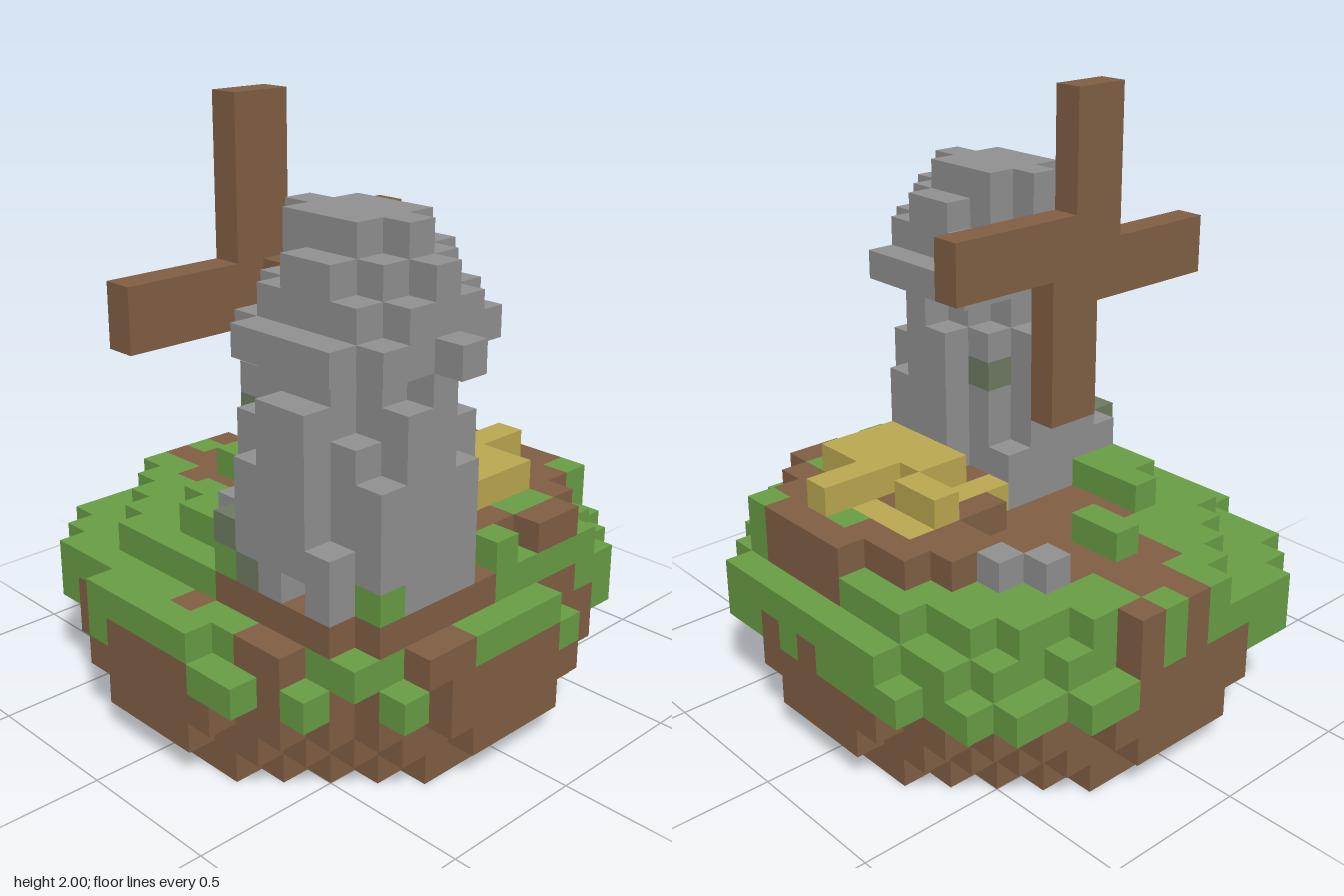
import * as THREE from 'three';

const S = 0.1; // edge of one block

export function createModel() {
  const flat = (name, color) => Object.assign(new THREE.MeshStandardMaterial({ color }), { name });
  const mats = {
    brown: flat('soil and wood brown', 0x826045),
    grass: flat('grass green', 0x6a9f46),
    stone: flat('stone grey', 0x929292),
    moss: flat('mossy stone', 0x707b61),
    straw: flat('straw yellow', 0xbca950),
  };

  // block grid helpers
  const blocks = new Map();
  const key = (x, y, z) => `${x},${y},${z}`;
  const put = (part, mat, x, y, z) => blocks.set(key(x, y, z), { part, mat, p: [x, y, z] });
  const fill = (part, mat, [x0, y0, z0], [x1, y1, z1]) => {
    for (let x = x0; x <= x1; x++)
      for (let y = y0; y <= y1; y++)
        for (let z = z0; z <= z1; z++) put(part, mat, x, y, z);
  };
  const within = (rects, x, z) => rects.some(([a, b, c, d]) => x >= a && x <= c && z >= b && z <= d);

  // island: bare soil patches and grass drips as [x0, z0, x1, z1]
  const soil = [
    [0, -7, 3, -7], [-2, -6, 0, -6], [3, -6, 4, -6], [-3, -5, 5, -5], [-3, -4, 4, -4],
    [6, -4, 6, -3], [-4, -3, 4, -3], [-8, -2, -8, -2], [-5, -2, 5, -2], [-7, -1, 5, -1],
    [-8, 0, -6, 0], [-3, 0, -1, 0], [-6, 1, -1, 1], [-3, 2, -1, 2],
    [7, 2, 7, 3], [0, 6, 0, 6], [3, 6, 4, 6],
  ];
  const drips = [
    [-8, 3, -6, 6], [-3, 7, -3, 7], [2, 7, 3, 7], [5, 6, 5, 6],
    [7, 4, 7, 4], [7, -3, 7, -3], [5, -8, 7, -6],
  ];
  const isSoil = (x, y, z) => {
    if (y === 5 && x > 0 && z >= 0) return true;
    if (y === 5 && x === 6) return false;
    return within(soil, x, z);
  };
  const isDrip = (x, z) => within(drips, x, z) ||
    (x < 0 && z < -2 && x * x + z * z > 55) ||
    (z < -4 && x < 5 && (x * 3 + z * 5 + 80) % 7 < 4);

  // island: lower layers widen upwards
  [49, 60, 63, 66].forEach((r2, y) => {
    for (let x = -8; x < 8; x++)
      for (let z = -8; z < 8; z++)
        if ((x + 0.5) ** 2 + (z + 0.5) ** 2 <= r2) put('island', 'brown', x, y, z);
  });

  // island: upper layers as x spans for successive z rows
  const layer = (y, z0, spans) => spans.forEach(([a, b], i) => {
    const z = z0 + i;
    for (let x = a; x <= b; x++) put('island', isSoil(x, y, z) ? 'brown' : 'grass', x, y, z);
  });
  const full = [-8, 7];
  const rim = [[-4, 4], [-6, 5], [-7, 6], [-7, 6], [-8, 6],
    full, full, full, full, full, full, full, full, [-7, 6], [-6, 5], [-3, 3]];
  rim.forEach(([a, b], i) => {
    for (let x = a; x <= b; x++) if (isDrip(x, i - 8)) put('island', 'grass', x, 3, i - 8);
  });
  layer(4, -8, [[-3, 4], [-5, 5], [-6, 6], [-6, 6], [-7, 6], [-7, 6],
    full, full, full, full, full, full, [-8, 6], [-7, 6], [-6, 4], [-3, 1]]);
  layer(5, -7, [[-3, 4], [-5, 5], [-6, 6], [-6, 6], [-7, 6], [-8, 6], [-8, 6],
    [-8, 6], [-8, 6], [-7, 6], [-6, 6], [-5, 6], [-4, 5]]);
  layer(6, -7, [[0, 4], [-2, 4], [-3, 5], [-3, 6], [-1, 6], [-1, 5], [0, 5]]);
  fill('island', 'grass', [-5, 6, 0], [-4, 6, 0]);
  fill('island', 'grass', [-3, 6, 3], [-1, 6, 3]);
  fill('island', 'grass', [-2, 6, 4], [-1, 6, 4]);

  // loose rocks
  put('rocks', 'stone', -4, 6, -4);
  put('rocks', 'stone', -5, 6, -3);

  // straw heap: low edge and higher middle
  fill('strawHeap', 'straw', [-1, 6, -5], [1, 6, -5]);
  fill('strawHeap', 'straw', [-1, 6, -4], [0, 7, -4]);
  fill('strawHeap', 'straw', [0, 6, -3], [0, 6, -1]);
  [[2, -6, 2], [2, -5, 2], [2, -4, 4], [1, -3, 4], [1, -2, 4]]
    .forEach(([a, z, b]) => fill('strawHeap', 'straw', [a, 7, z], [b, 7, z]));

  // tower: slim core with outer blocks that end at uneven heights
  for (let x = 0; x <= 6; x++)
    for (let z = -1; z <= 5; z++) {
      const r2 = (x - 3) ** 2 + (z - 2) ** 2;
      if (r2 > 13 || (r2 > 10 && z < 1 && x > 0)) continue;
      const uneven = (x * 5 + z * 3 + 8) % 4;
      let top = 12;
      if (r2 > 10) top = 7 + uneven % 3;
      else if (r2 > 9) top = 8 + uneven;
      else if (r2 > 8) top = x === 6 || z === -1 ? 12 : 11;
      else if (r2 > 5) top = 10;
      fill('tower', 'stone', [x, 6, z], [x, top, z]);
    }
  put('tower', 'stone', 0, 11, 3);
  put('tower', 'stone', 1, 11, 0);
  // tower: overhanging ring and stepped cap
  fill('tower', 'stone', [1, 13, -1], [5, 13, 4]);
  fill('tower', 'stone', [2, 13, 5], [5, 13, 5]);
  fill('tower', 'stone', [6, 13, 1], [6, 13, 4]);
  put('tower', 'stone', 7, 13, 2);
  fill('tower', 'stone', [1, 14, 1], [6, 14, 3]);
  fill('tower', 'stone', [2, 14, 0], [5, 14, 4]);
  fill('tower', 'stone', [1, 15, 2], [6, 15, 2]);
  fill('tower', 'stone', [2, 15, 1], [5, 15, 3]);
  fill('tower', 'stone', [3, 15, 0], [4, 15, 4]);
  fill('tower', 'stone', [1, 16, 2], [5, 16, 2]);
  fill('tower', 'stone', [2, 16, 1], [4, 16, 3]);
  // tower: mossy stones, turf at the foot and a low doorway
  [[0, 10, 3], [1, 7, 5], [2, 6, 5], [5, 12, 1], [1, 10, 0]]
    .forEach((p) => put('tower', 'moss', ...p));
  [[1, 6, 5], [6, 6, 4], [6, 6, -1]].forEach((p) => put('island', 'grass', ...p));
  blocks.delete(key(4, 6, 5));

  // sails: four offset arms around the axle
  put('axle', 'brown', 0, 14, 2);
  fill('sails', 'brown', [-1, 14, 2], [-1, 19, 3]);
  fill('sails', 'brown', [-1, 9, 1], [-1, 14, 2]);
  fill('sails', 'brown', [-1, 14, -3], [-1, 15, 2]);
  fill('sails', 'brown', [-1, 13, 2], [-1, 14, 7]);

  // collect the exposed faces of each part and colour
  const faces = {};
  for (const { part, mat, p } of blocks.values()) {
    const out = ((faces[part] ??= {})[mat] ??= []);
    for (let a = 0; a < 3; a++)
      for (const s of [1, -1]) {
        const n = [...p];
        n[a] += s;
        if (blocks.has(key(...n))) continue;
        let u = (a + 1) % 3, v = (a + 2) % 3;
        if (s < 0) [u, v] = [v, u];
        for (const [i, j] of [[0, 0], [1, 0], [1, 1], [0, 0], [1, 1], [0, 1]]) {
          const c = [...p];
          if (s > 0) c[a] += 1;
          c[u] += i;
          c[v] += j;
          out.push(c[0] * S, c[1] * S, c[2] * S);
        }
      }
  }

  const model = new THREE.Group();
  model.name = 'windmillIsland';
  for (const [part, byMat] of Object.entries(faces)) {
    const group = new THREE.Group();
    group.name = part;
    for (const [mat, pos] of Object.entries(byMat)) {
      const geo = new THREE.BufferGeometry();
      geo.setAttribute('position', new THREE.Float32BufferAttribute(pos, 3));
      geo.computeVertexNormals();
      const mesh = new THREE.Mesh(geo, mats[mat]);
      mesh.name = `${part} ${mat}`;
      group.add(mesh);
    }
    model.add(group);
  }
  return model;
}
